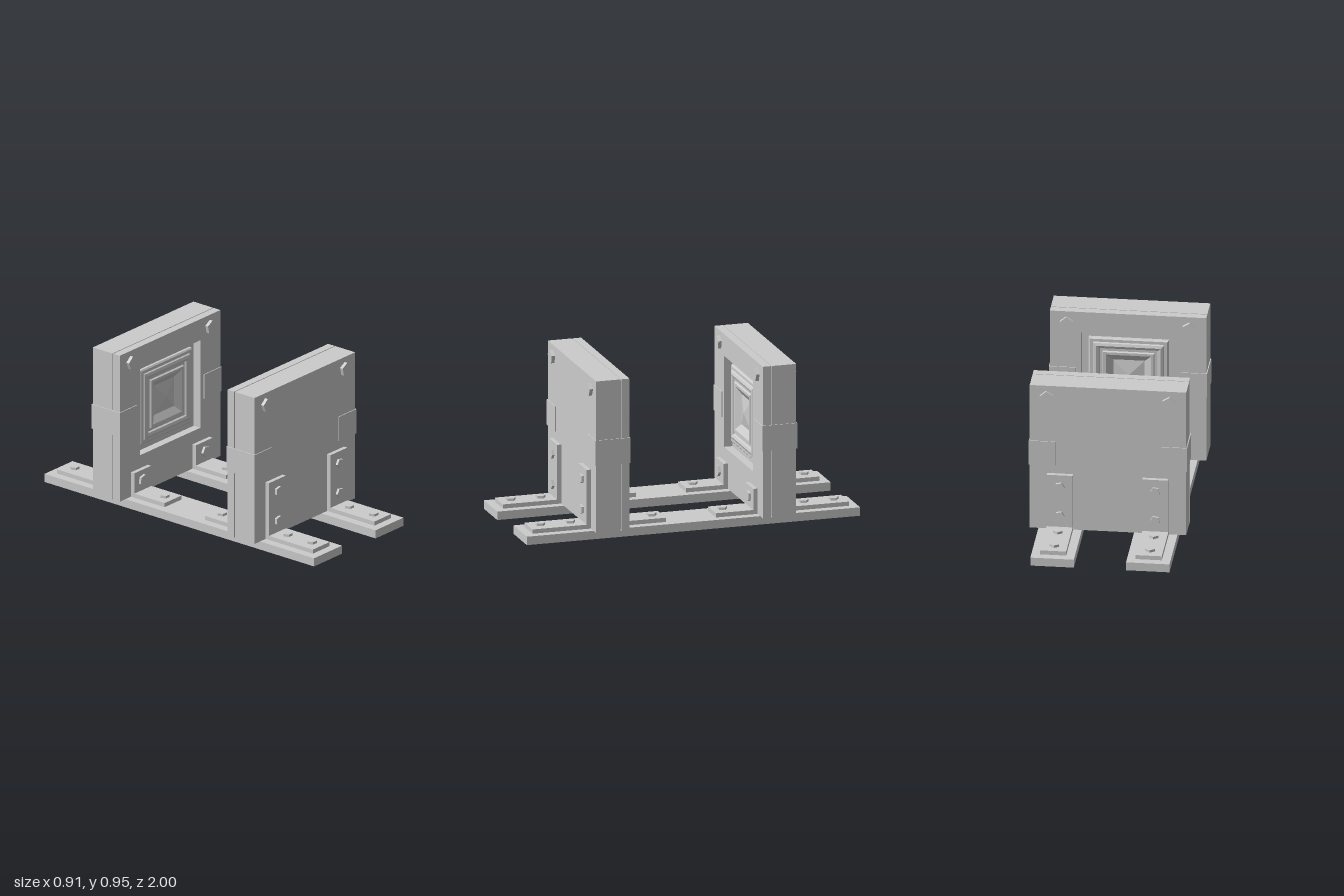
import * as THREE from 'three';

const mat = new THREE.MeshStandardMaterial({ color: 0xcccccc, flatShading: true });

function add(parent, name, geometry) {
  const mesh = new THREE.Mesh(geometry, mat);
  mesh.name = name;
  parent.add(mesh);
  return mesh;
}

// Box given by its limits on each axis
function box(parent, name, [x0, x1], [y0, y1], [z0, z1]) {
  const mesh = add(parent, name, new THREE.BoxGeometry(x1 - x0, y1 - y0, z1 - z0));
  mesh.position.set((x0 + x1) / 2, (y0 + y1) / 2, (z0 + z1) / 2);
}

// Five-sided bolt head with its axis along z; angle (degrees) aims one corner
function wallBolt(parent, x, y, z, r, h, angle) {
  const g = new THREE.CylinderGeometry(r, r, h, 5);
  g.rotateX(Math.PI / 2).rotateZ(THREE.MathUtils.degToRad(angle + 90));
  add(parent, 'bolt', g).position.set(x, y, z);
}

// Five-sided bolt head standing on a bracket foot
function floorBolt(parent, x, z, turn) {
  const g = new THREE.CylinderGeometry(0.029, 0.029, 0.015, 5).rotateY(turn);
  add(parent, 'bolt', g).position.set(x, 0.0825, z);
}

// One cabinet at z 0.4 to 0.6, its driver facing -z
function makeCabinet(boltTurn) {
  const unit = new THREE.Group();
  unit.name = 'cabinet';
  box(unit, 'cabinetBody', [-0.45, 0.45], [0.05, 0.95], [0.454, 0.6]);
  box(unit, 'seamCore', [-0.442, 0.442], [0.058, 0.942], [0.449, 0.456]);

  // Front panel with a square opening
  const panel = new THREE.Shape();
  panel.moveTo(-0.45, 0.05).lineTo(0.45, 0.05).lineTo(0.45, 0.95).lineTo(-0.45, 0.95).closePath();
  const hole = new THREE.Path();
  hole.moveTo(-0.27, 0.28).lineTo(-0.27, 0.82).lineTo(0.27, 0.82).lineTo(0.27, 0.28).closePath();
  panel.holes.push(hole);
  add(unit, 'frontPanel', new THREE.ExtrudeGeometry(panel, { depth: 0.049, bevelEnabled: false }))
    .position.z = 0.4;

  // Square driver: frame, stepped surround, sunken cone and dust cap
  const profile = [
    [0.23, 0], [0.23, 0.015], [0.222, 0.022], [0.205, 0.022], [0.2, 0.03], [0.185, 0.036],
    [0.17, 0.03], [0.165, 0.02], [0.15, 0.02], [0.145, 0.03], [0.13, 0.03],
    [0.09, 0.003], [0, 0.02],
  ].map(([half, y]) => new THREE.Vector2(half * Math.SQRT2, y));
  const driver = new THREE.LatheGeometry(profile, 4, Math.PI / 4).rotateX(-Math.PI / 2);
  add(unit, 'driver', driver).position.set(0, 0.55, 0.449);

  for (const s of [-1, 1]) {
    const span = (a, b) => (s > 0 ? [a, b] : [-b, -a]);
    const aim = (angle) => (s < 0 ? angle : 180 - angle);

    // Side clamp and corner bolts
    box(unit, 'sideClamp', span(0.3, 0.455), [0.45, 0.6], [0.395, 0.605]);
    wallBolt(unit, s * 0.352, 0.88, 0.61, 0.04, 0.02, aim(95));
    wallBolt(unit, s * 0.352, 0.88, 0.39, 0.04, 0.02, aim(95));

    // Tall bracket behind the cabinet
    const tall = new THREE.Group();
    tall.name = 'rearBracket';
    box(tall, 'bracketPlate', span(0.2, 0.35), [0.05, 0.4], [0.6, 0.625]);
    box(tall, 'bracketFoot', span(0.2, 0.35), [0.05, 0.075], [0.6, 0.95]);
    for (const y of [0.148, 0.33]) wallBolt(tall, s * 0.274, y, 0.6325, 0.029, 0.015, aim(-5));
    for (const z of [0.7, 0.88]) floorBolt(tall, s * 0.275, z, boltTurn);

    // Short bracket in front of the driver side
    const short = new THREE.Group();
    short.name = 'frontBracket';
    box(short, 'bracketPlate', span(0.2, 0.35), [0.05, 0.2], [0.375, 0.4]);
    box(short, 'bracketFoot', span(0.2, 0.35), [0.05, 0.075], [0.15, 0.4]);
    wallBolt(short, s * 0.28, 0.14, 0.3675, 0.033, 0.015, aim(-5));
    floorBolt(short, s * 0.275, 0.212, boltTurn);
    unit.add(tall, short);
  }
  return unit;
}

export function createModel() {
  const model = new THREE.Group();
  model.name = 'facingCabinetsOnRails';

  // Floor rails
  box(model, 'rail', [0.15, 0.4], [0, 0.05], [-1, 1]);
  box(model, 'rail', [-0.4, -0.15], [0, 0.05], [-1, 1]);

  // Two cabinets facing each other
  const front = makeCabinet(Math.PI);
  const back = makeCabinet(0);
  back.rotation.y = Math.PI;
  model.add(front, back);
  return model;
}
